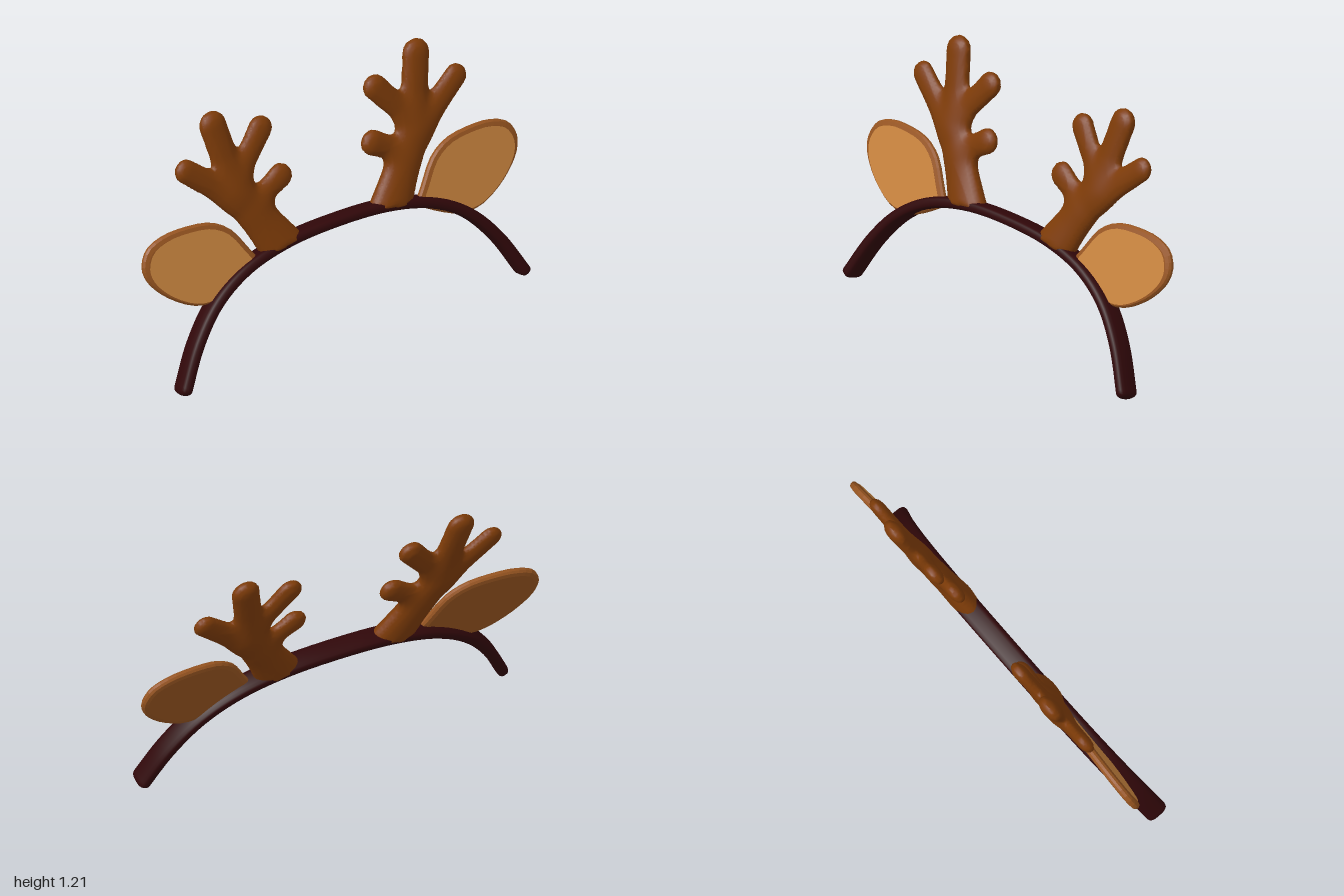
import * as THREE from 'three';

const TILT = 0.28, C = Math.cos(TILT);
const mat = (name, color) => Object.assign(new THREE.MeshStandardMaterial({ color }), { name });

// Points are given as seen from the front; dividing by C undoes the backward tilt
const toLocal = (pts, s = 1) => pts.map(([x, y, z = 0]) => new THREE.Vector3(s * x, y / C, z));

function indexed(pos, idx) {
  const g = new THREE.BufferGeometry();
  g.setAttribute('position', new THREE.Float32BufferAttribute(pos, 3));
  g.setIndex(idx);
  g.computeVertexNormals();
  return g;
}

// Flat strap with rounded ends along a curve; radii spread evenly over its length
function strap(points, radii, halfDepth, rings = 72, sides = 16) {
  const curve = new THREE.CatmullRomCurve3(points);
  const len = curve.getLength(), pos = [], idx = [];
  const bend = v => Math.sign(v) * Math.abs(v) ** 0.65;
  for (let i = 0; i <= rings; i++) {
    const t = (1 - Math.cos(Math.PI * i / rings)) / 2;
    const f = t * (radii.length - 1), k = Math.min(Math.floor(f), radii.length - 2);
    const r = THREE.MathUtils.lerp(radii[k], radii[k + 1], f - k);
    const d = Math.min(t, 1 - t) * len;
    const cap = d < r ? Math.sqrt(Math.max(1e-5, 1 - (1 - d / r) ** 2)) : 1;
    const p = curve.getPointAt(t), tan = curve.getTangentAt(t);
    for (let j = 0; j < sides; j++) {
      const a = j / sides * Math.PI * 2;
      const c = bend(Math.cos(a)) * r * cap, w = bend(Math.sin(a)) * halfDepth * cap;
      pos.push(p.x - tan.y * c, p.y + tan.x * c, p.z + w);
      if (i < rings) {
        const q = i * sides, e = (j + 1) % sides;
        idx.push(q + j, q + e, q + sides + j, q + e, q + sides + e, q + sides + j);
      }
    }
  }
  return indexed(pos, idx);
}

// Smooth skin around a distance function, one vertex per crossed grid cell
function skin(field, min, max, h) {
  const n = min.map((m, a) => Math.ceil((max[a] - m) / h) + 1);
  const step = [1, n[0], n[0] * n[1]], total = step[2] * n[2];
  const cell = g => [g % n[0], Math.floor(g / step[1]) % n[1], Math.floor(g / step[2])];
  const point = g => cell(g).map((c, a) => min[a] + c * h);
  const val = Float32Array.from({ length: total }, (_, g) => field(new THREE.Vector3(...point(g))));
  const vertex = new Map(), pos = [], idx = [];
  for (let g = 0; g < total; g++) {
    if (cell(g).some((c, a) => c >= n[a] - 1)) continue;
    const sum = [0, 0, 0];
    let hits = 0;
    for (let corner = 0; corner < 8; corner++) for (let a = 0; a < 3; a++) {
      if (corner >> a & 1) continue;
      const bits = [0, 1, 2].map(b => corner >> b & 1);
      const from = g + bits[0] * step[0] + bits[1] * step[1] + bits[2] * step[2];
      const v0 = val[from], v1 = val[from + step[a]];
      if (v0 < 0 === v1 < 0) continue;
      bits[a] = v0 / (v0 - v1);
      bits.forEach((b, c) => { sum[c] += b; });
      hits++;
    }
    if (!hits) continue;
    vertex.set(g, pos.length / 3);
    pos.push(...point(g).map((m, a) => m + sum[a] / hits * h));
  }
  // One quad around every crossed grid edge
  for (let g = 0; g < total; g++) for (let a = 0; a < 3; a++) {
    if (cell(g)[a] >= n[a] - 1 || val[g] < 0 === val[g + step[a]] < 0) continue;
    const u = step[(a + 1) % 3], v = step[(a + 2) % 3];
    const q = [g, g - u, g - u - v, g - v].map(c => vertex.get(c));
    if (val[g] >= 0) q.reverse();
    idx.push(q[0], q[1], q[2], q[0], q[2], q[3]);
  }
  return indexed(pos, idx);
}

// Antler limbs as [x, y, z, radius]: the stem with its top tine, then three side tines
const LIMBS = [
  [[0.285, 0.5, 0, 0.108], [0.395, 0.685, 0, 0.084], [0.48, 0.82, 0, 0.076], [0.508, 0.98, 0, 0.066], [0.543, 1.143, 0.004, 0.067]],
  [[0.49, 0.79, 0, 0.066], [0.6, 0.885, 0.004, 0.058], [0.72, 0.985, 0.01, 0.056]],
  [[0.475, 0.82, 0, 0.066], [0.41, 0.93, 0.002, 0.054], [0.307, 1.057, 0.006, 0.06]],
  [[0.4, 0.7, 0, 0.066], [0.32, 0.778, 0.004, 0.053], [0.248, 0.82, 0.01, 0.06]],
];

function antlerGeometry(s) {
  const FLAT = 0.56, BLEND = 0.018;
  const flatten = v => v.setZ(v.z / FLAT);
  const limbs = LIMBS.map(l => toLocal(l, s).map((p, i) => ({ p: flatten(p), r: l[i][3] })));
  const ab = new THREE.Vector3(), ap = new THREE.Vector3();
  const field = q => {
    flatten(q);
    let sum = 0;
    for (const l of limbs) {
      let near = Infinity;
      for (let i = 1; i < l.length; i++) {
        const a = l[i - 1], b = l[i];
        ab.subVectors(b.p, a.p);
        ap.subVectors(q, a.p);
        const t = THREE.MathUtils.clamp(ap.dot(ab) / ab.lengthSq(), 0, 1);
        near = Math.min(near, ap.addScaledVector(ab, -t).length() - THREE.MathUtils.lerp(a.r, b.r, t));
      }
      sum += Math.exp(-near / BLEND);
    }
    // The foot is cut off inside the headband
    const foot = (0.53 - (s * q.x - 0.2) * 0.17) / C - q.y;
    return Math.max(-BLEND * Math.log(sum + 1e-30), foot);
  };
  const x = [0.12 * s, 0.84 * s].sort((a, b) => a - b);
  return skin(field, [x[0], 0.46, -0.1], [x[1], 1.32, 0.1], 0.015);
}

const EAR = [[1.0, 0.62], [0.965, 0.69], [0.88, 0.727], [0.76, 0.735], [0.63, 0.718], [0.54, 0.665], [0.47, 0.565],
  [0.43, 0.485], [0.53, 0.415], [0.65, 0.37], [0.76, 0.375], [0.87, 0.43], [0.95, 0.5], [0.99, 0.56]];
const EAR_MID = [0.72, 0.555];

// Ear outline about its own middle
function earShape(s, scale = 1) {
  const pts = toLocal(EAR.map(([x, y]) => [(x - EAR_MID[0]) * scale, (y - EAR_MID[1]) * scale]), s);
  const curve = new THREE.CatmullRomCurve3(pts, true);
  return new THREE.Shape(curve.getPoints(36).slice(0, -1).map(p => new THREE.Vector2(p.x, p.y)));
}

export function createModel() {
  const model = new THREE.Group();
  model.name = 'antlerHeadband';
  const bandMat = mat('dark maroon', 0x300709);
  const antlerMat = mat('antler brown', 0x7d3b08);
  const earMat = mat('ear brown', 0x965420);
  const innerMat = mat('inner ear tan', 0xca853f);

  const tilted = new THREE.Group();
  tilted.name = 'tiltedBody';
  tilted.rotation.x = -TILT;
  tilted.position.z = 0.15;
  model.add(tilted);
  const add = (parent, name, geometry, material) => {
    const m = new THREE.Mesh(geometry, material);
    m.name = name;
    parent.add(m);
    return m;
  };

  // Headband: a flat arched strap
  const half = [[0.917, 0.012], [0.8, 0.22], [0.67, 0.367], [0.5, 0.467], [0.28, 0.522]];
  const arch = [...half.map(([x, y]) => [-x, y]), [0, 0.538], ...half.slice().reverse()];
  const band = add(tilted, 'headband', strap(toLocal(arch), [0.028, 0.027, 0.025, 0.027, 0.028], 0.053), bandMat);
  band.position.z = 0.008;

  for (const s of [1, -1]) {
    const side = s > 0 ? 'left' : 'right';
    add(tilted, side + 'Antler', antlerGeometry(s), antlerMat).position.z = 0.011;

    // Ear: bevelled pad with a lighter face on the front, turned slightly outward
    const ear = new THREE.Group();
    ear.name = side + 'Ear';
    ear.position.set(s * EAR_MID[0], EAR_MID[1] / C, 0);
    ear.rotation.y = s * 0.055;
    const pad = new THREE.ExtrudeGeometry(earShape(s), {
      depth: 0.012, bevelEnabled: true, bevelSize: 0.026, bevelOffset: -0.026, bevelThickness: 0.013, bevelSegments: 2,
    });
    pad.translate(0, 0, -0.006);
    add(ear, 'earPad', pad, earMat);
    const face = add(ear, 'innerEar', new THREE.ShapeGeometry(earShape(s, 0.9)), innerMat);
    face.position.set(0, -0.006, 0.021);
    tilted.add(ear);
  }
  return model;
}
